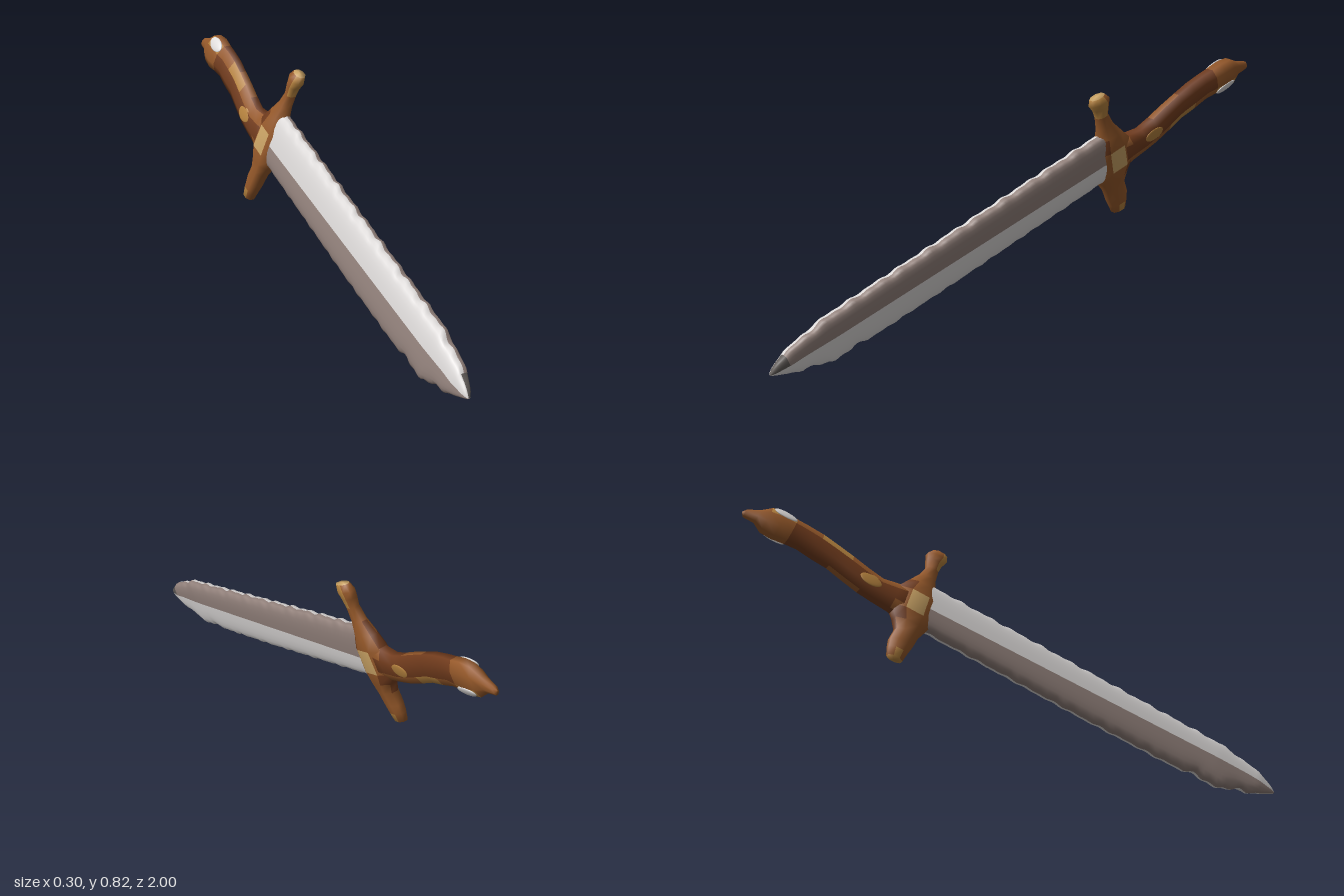
import * as THREE from 'three';

const mat = (name, color) => {
  const m = new THREE.MeshStandardMaterial({ color });
  m.name = name;
  return m;
};

// Sword frame: w = thickness, s = across the blade, l = along it towards the tip.
// The whole sword leans, so x is sheared by height and depth.
function place(w, s, l) {
  const z = -0.37 + 0.929 * l + 0.37 * s;
  const y = 0.53 - 0.37 * l + 0.93 * s;
  return [w - 0.0876 - 0.0496 * z + 0.208 * y, y, z];
}

// Loft of rounded rings. rows: [t, low, high, halfThickness, middle, lowRipple, highRipple];
// ripples move only the outermost edge. paint gives a material index.
function loft(name, rows, o, materials, paint) {
  const { sides, axis = 'l', offset = 0, pw = 1, ps = 1 } = o;
  const pos = [];
  for (const [t, lo, hi, th, mid = (lo + hi) / 2, rLo = 0, rHi = 0] of rows) {
    for (let j = 0; j < sides; j++) {
      const a = offset + (j / sides) * Math.PI * 2;
      const cos = Math.cos(a), sin = Math.abs(Math.sin(a)), up = Math.sin(a) > 0;
      const w = th * Math.sign(cos) * Math.abs(cos) ** pw;
      const c = mid + ((up ? hi : lo) - mid) * sin ** ps + (up ? rHi : rLo) * sin ** 8;
      pos.push(...(axis === 'l' ? place(w, c, t) : place(w, t, c)));
    }
  }
  const buckets = materials.map(() => []);
  for (let i = 0; i < rows.length - 1; i++) {
    const at = (rows[i][0] + rows[i + 1][0]) / 2;
    for (let j = 0; j < sides; j++) {
      const k = (j + 1) % sides;
      const a = i * sides + j, b = i * sides + k, c = b + sides, d = a + sides;
      buckets[paint(at, j)].push(a, b, c, a, c, d);
    }
  }
  const g = new THREE.BufferGeometry();
  g.setAttribute('position', new THREE.Float32BufferAttribute(pos, 3));
  g.setIndex(buckets.flat());
  let start = 0;
  buckets.forEach((b, i) => {
    if (b.length) g.addGroup(start, b.length, i);
    start += b.length;
  });
  g.computeVertexNormals();
  const mesh = new THREE.Mesh(g, materials);
  mesh.name = name;
  return mesh;
}

// Piecewise linear lookup through [t, value] points
function curve(points, t) {
  for (let i = 1; i < points.length; i++) {
    const [a, va] = points[i - 1], [b, vb] = points[i];
    if (t <= b) return va + ((vb - va) * (t - a)) / (b - a);
  }
  return points[points.length - 1][1];
}

// Pair of low oval studs, one per side, turned half way round the handle's middle line
function studs(name, material, { w, s, l, mid, tilt, size }) {
  const pair = new THREE.Group();
  pair.name = name;
  for (const side of [1, -1]) {
    const g = new THREE.SphereGeometry(1, 20, 12).scale(...size).rotateZ(tilt).translate(w, s - mid, l);
    if (side < 0) g.translate(0, 0, -l).rotateZ(Math.PI).translate(0, 0, l);
    const p = g.attributes.position;
    for (let i = 0; i < p.count; i++) p.setXYZ(i, ...place(p.getX(i), p.getY(i) + mid, p.getZ(i)));
    g.computeVertexNormals();
    const stud = new THREE.Mesh(g, material);
    stud.name = side > 0 ? 'leftStud' : 'rightStud';
    pair.add(stud);
  }
  return pair;
}

export function createModel() {
  const group = new THREE.Group();
  group.name = 'sword';
  const steel = mat('lightSteel', 0xdcd9d8);
  const taupe = mat('taupeSteel', 0x93827c);
  const dark = mat('darkSteel', 0x5f5a57);
  const brown = mat('bronzeBrown', 0x96592a);
  const deep = mat('darkBrown', 0x723c1d);
  const gold = mat('gold', 0xb5823e);
  const tan = mat('paleGold', 0xcaa365);

  // Blade: straight two-tone ridge, chipped edges, tones swapped from side to side
  const top = [[0, 0.124], [1.22, 0.123], [1.27, 0.112], [1.375, 0.095], [1.44, 0.06], [1.456, 0.045]];
  const bottom = [[0, -0.076], [0.7, -0.078], [1.07, -0.072], [1.15, -0.058], [1.24, -0.068], [1.29, -0.034],
    [1.34, -0.022], [1.4, 0.006], [1.456, 0.038]];
  const ridge = [[0, 0.005], [1.33, 0.045], [1.456, 0.042]];
  const thick = [[0, 0.034], [1.2, 0.033], [1.38, 0.026], [1.44, 0.014], [1.456, 0.006]];
  const rows = [[0, 0.02, 0.02, 0]];
  const N = 110;
  for (let i = 0; i <= N; i++) {
    const l = (1.456 * i) / N;
    const fade = Math.min(1, (1.456 - l) * 8);
    const up = 0.003 * Math.sin(l * 58) + 0.003 * Math.sin(l * 97 + 1);
    const down = (0.002 + 0.01 * Math.max(0, l - 0.95)) * (Math.sin(l * 66 + 2) + Math.sin(l * 101));
    rows.push([l, curve(bottom, l), curve(top, l), curve(thick, l), curve(ridge, l), down * fade, up * fade]);
  }
  rows.push([1.458, 0.042, 0.042, 0]);
  group.add(loft('blade', rows, { sides: 24, pw: 0.6, ps: 0.85 }, [steel, taupe, dark], (l, j) => {
    if (l > 1.385 && j < 7) return 2;
    return j % 12 < 6 ? 1 : 0;
  }));

  // Crossguard: swelling block with a knobbed upper arm and a heavier lower arm
  const guard = [
    [0.292, -0.005, 0.005, 0], [0.288, -0.028, 0.032, 0.022], [0.262, -0.044, 0.038, 0.029],
    [0.235, -0.036, 0.026, 0.027], [0.2, -0.026, 0.022, 0.023], [0.15, -0.04, 0.026, 0.026],
    [0.1, -0.068, 0.04, 0.036], [0.045, -0.1, 0.07, 0.046], [-0.045, -0.1, 0.075, 0.046],
    [-0.09, -0.066, 0.06, 0.04], [-0.13, -0.045, 0.044, 0.034], [-0.18, -0.05, 0.038, 0.031],
    [-0.215, -0.044, 0.03, 0.028], [-0.25, -0.034, 0.024, 0.022], [-0.255, -0.008, 0.002, 0],
  ];
  group.add(loft('crossguard', guard, { sides: 8, axis: 's', offset: Math.PI / 8, pw: 0.9 },
    [brown, deep, gold, tan], (s, j) => {
      if (s > 0.285) return 3;
      if (s > 0.2) return j < 3 || j === 7 ? 2 : 0;
      if (s < -0.215) return s < -0.25 || j % 4 === 3 ? 2 : 0;
      if (Math.abs(s) < 0.045 && j % 4 === 3) return 3;
      if (j === 5 && Math.abs(s) < 0.15) return 1;
      return (s > 0.045 && s < 0.1 && j % 4 === 0) || (s < -0.045 && s > -0.09 && j % 2 === 0 && j > 3) ? 1 : 0;
    }));

  // Handle and beaked pommel: dark grip, lighter pommel, gold on opposite quarters
  const handle = [
    [-0.682, 0.009, 0.011, 0], [-0.672, -0.008, 0.028, 0.012], [-0.63, -0.006, 0.055, 0.022],
    [-0.597, -0.03, 0.09, 0.034], [-0.55, -0.032, 0.1, 0.039], [-0.505, -0.022, 0.097, 0.037],
    [-0.46, -0.018, 0.098, 0.033], [-0.4, -0.026, 0.095, 0.033], [-0.34, -0.03, 0.085, 0.031],
    [-0.275, -0.046, 0.072, 0.033], [-0.21, -0.06, 0.056, 0.035], [-0.15, -0.066, 0.045, 0.036],
    [-0.09, -0.07, 0.06, 0.04], [-0.03, -0.085, 0.085, 0.042], [0, 0, 0, 0],
  ];
  group.add(loft('handle', handle, { sides: 8, offset: Math.PI / 8, pw: 0.9 },
    [brown, deep, gold], (l, j) => {
      if (l < -0.5) return l > -0.6 && j % 4 === 2 ? 2 : 0;
      if (l > -0.09) return j % 2;
      if (j % 4 === 2) return l > -0.4 && l < -0.275 ? 2 : 0;
      return j % 4 === 1 && l > -0.34 && l < -0.21 ? 0 : 1;
    }));
  group.add(studs('gripPatches', gold,
    { w: 0.032, s: -0.004, l: -0.19, mid: -0.004, tilt: -0.1, size: [0.005, 0.026, 0.042] }));
  group.add(studs('pommelGems', steel,
    { w: 0.026, s: -0.009, l: -0.547, mid: 0.034, tilt: -0.49, size: [0.007, 0.022, 0.044] }));
  return group;
}
